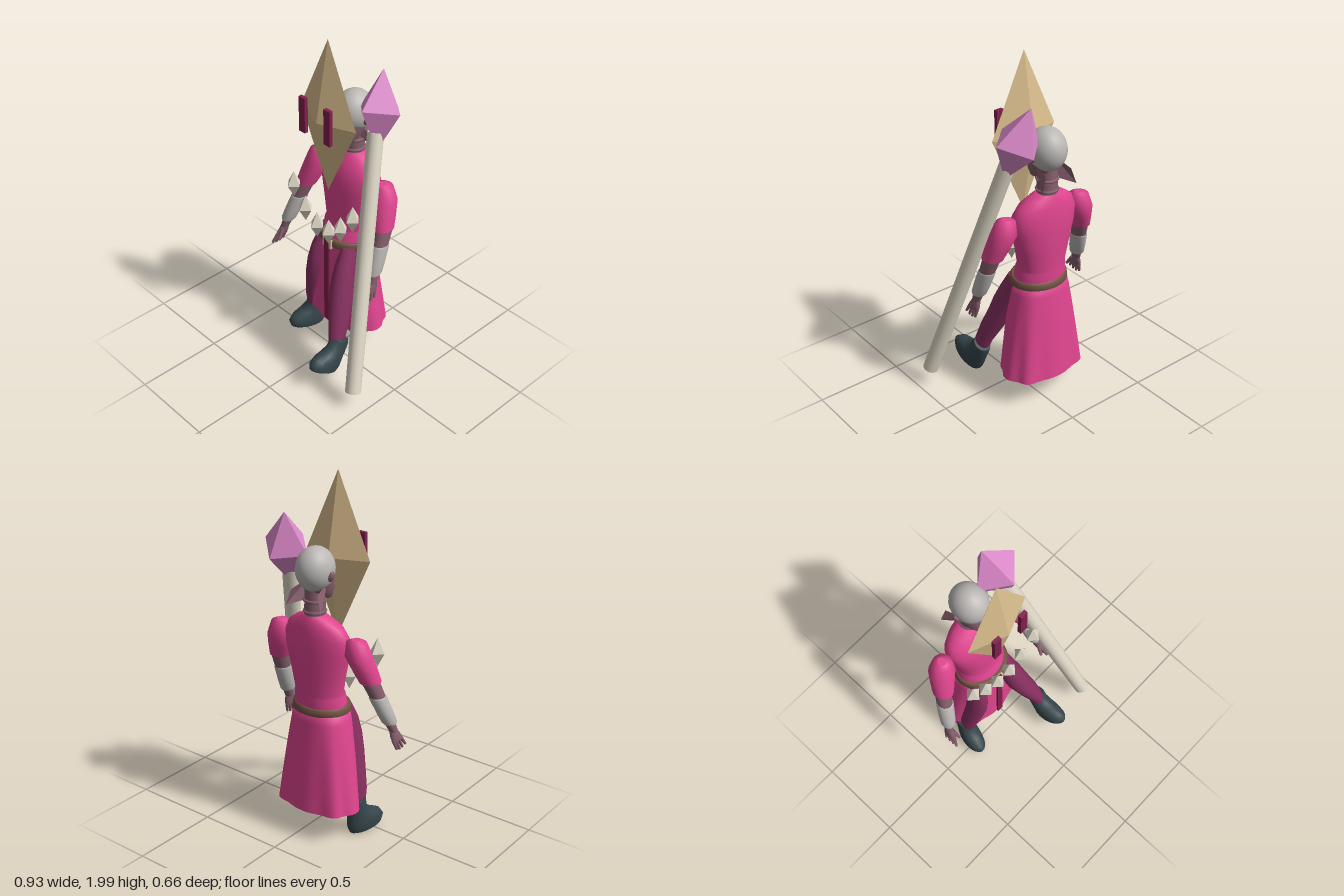
import * as THREE from 'three';
import { ParametricGeometry } from 'three/addons/geometries/ParametricGeometry.js';

const V = (x, y, z) => new THREE.Vector3(x, y, z);

// Closed body from horizontal elliptical rings [x, y, z, rx, rz], listed top to bottom
function loft(rings, sides = 18) {
  const pos = [], idx = [], n = rings.length;
  const addRing = ([x, y, z, rx, rz]) => {
    for (let j = 0; j < sides; j++) {
      const a = (j / sides) * Math.PI * 2;
      pos.push(x + rx * Math.cos(a), y, z + rz * Math.sin(a));
    }
  };
  rings.forEach(addRing);
  for (let i = 0; i < n - 1; i++) {
    for (let j = 0; j < sides; j++) {
      const k = (j + 1) % sides, a = i * sides, b = a + sides;
      idx.push(a + j, a + k, b + j, a + k, b + k, b + j);
    }
  }
  // Separate cap vertices keep the ends crisp
  [rings[0], rings[n - 1]].forEach((r, end) => {
    const s = pos.length / 3;
    addRing(r);
    pos.push(r[0], r[1], r[2]);
    for (let j = 0; j < sides; j++) {
      const k = (j + 1) % sides;
      if (end) idx.push(s + sides, s + j, s + k);
      else idx.push(s + sides, s + k, s + j);
    }
  });
  const g = new THREE.BufferGeometry();
  g.setAttribute('position', new THREE.Float32BufferAttribute(pos, 3));
  g.setIndex(idx);
  g.computeVertexNormals();
  return g;
}

export function createModel() {
  const model = new THREE.Group();
  model.name = 'maskedMage';
  const mat = (name, color, side = THREE.FrontSide) => {
    const m = new THREE.MeshStandardMaterial({ color, side });
    m.name = name;
    return m;
  };
  const tan = mat('maskTan', 0xd9bd8d), maroon = mat('maroon', 0x821f4c);
  const robe = mat('robePink', 0xe0458f, THREE.DoubleSide), legging = mat('leggingPurple', 0x87305f);
  const leather = mat('bootSlate', 0x36464b), violet = mat('gemViolet', 0xde8bcc);
  const bone = mat('bone', 0xe0d9c8), grey = mat('grey', 0xbab7b4);
  const skin = mat('skinMauve', 0x875f6c, THREE.DoubleSide), brown = mat('beltBrown', 0x725444);

  const add = (name, geo, material, x = 0, y = 0, z = 0) => {
    const m = new THREE.Mesh(geo, material);
    m.name = name;
    m.position.set(x, y, z);
    model.add(m);
    return m;
  };
  // Tapered rod between two points
  const rod = (name, a, b, ra, rb, material, sides = 10) => {
    const d = b.clone().sub(a), c = a.clone().add(b).multiplyScalar(0.5);
    const m = add(name, new THREE.CylinderGeometry(rb, ra, d.length(), sides), material, c.x, c.y, c.z);
    m.quaternion.setFromUnitVectors(V(0, 1, 0), d.normalize());
    return m;
  };
  const crystal = (name, rx, ry, rz, material, x, y, z) =>
    add(name, new THREE.OctahedronGeometry(1, 0).scale(rx, ry, rz), material, x, y, z);

  // Floating mask with eye bars
  crystal('mask', 0.206, 0.45, 0.083, tan, -0.047, 1.55, -0.005);
  for (const x of [-0.14, 0.045]) add('maskEye', new THREE.BoxGeometry(0.045, 0.205, 0.022), maroon, x, 1.567, 0.082);

  // Floating shards in a hanging arc
  [1.045, 0.93, 0.865].forEach((y, i) => {
    for (const s of [-1, 1]) crystal('shard', 0.045, 0.083, 0.045, bone, -0.047 + s * (0.231 - i * 0.0925), y, 0.037);
  });

  // Staff and gem
  const foot = V(0.422, 0.108, 0.252), top = V(0.16, 1.5, -0.145);
  rod('staff', foot, top, 0.044, 0.044, bone, 16);
  crystal('staffGem', 0.14, 0.215, 0.135, violet, 0.143, 1.603, -0.192)
    .quaternion.setFromUnitVectors(V(0, 1, 0), top.clone().sub(foot).normalize());

  // Head
  add('skull', new THREE.SphereGeometry(0.1, 24, 16).scale(1, 1.2, 1.11), grey, -0.048, 1.523, -0.194);
  add('jaw', loft([[-0.048, 1.48, -0.18, 0.085, 0.085], [-0.048, 1.41, -0.16, 0.075, 0.085],
    [-0.048, 1.36, -0.13, 0.045, 0.05]]), skin);
  rod('neck', V(-0.048, 1.24, -0.2), V(-0.048, 1.46, -0.195), 0.058, 0.052, skin, 16);
  for (const y of [1.3, 1.36]) {
    add('neckRing', new THREE.TorusGeometry(0.055, 0.009, 6, 18).rotateX(Math.PI / 2), skin, -0.048, y, -0.198);
  }
  // Ears and the swept-back fins below them
  for (const s of [-1, 1]) {
    add('ear', new THREE.SphereGeometry(0.03, 10, 8).scale(0.45, 1, 0.7), skin, -0.048 + s * 0.1, 1.5, -0.19)
      .rotation.z = -s * 0.3;
    const fin = new THREE.BufferGeometry().setFromPoints([
      V(s * 0.06, 1.46, -0.17), V(s * 0.05, 1.35, -0.2), V(s * 0.115, 1.33, -0.295),
      V(s * 0.06, 1.46, -0.17), V(s * 0.115, 1.33, -0.295), V(s * 0.085, 1.42, -0.285)]);
    fin.computeVertexNormals();
    add('neckFin', fin, skin, -0.048);
  }

  // Torso
  add('torso', loft([
    [-0.045, 1.285, -0.2, 0.06, 0.055], [-0.045, 1.26, -0.195, 0.115, 0.07], [-0.045, 1.22, -0.185, 0.17, 0.09],
    [-0.045, 1.16, -0.175, 0.2, 0.105], [-0.045, 1.08, -0.17, 0.195, 0.114], [-0.045, 0.95, -0.165, 0.162, 0.112],
    [-0.045, 0.84, -0.16, 0.14, 0.107], [-0.045, 0.83, -0.155, 0.147, 0.115], [-0.045, 0.72, -0.14, 0.155, 0.125],
  ], 28), robe);

  // Belt, buckle and hanging sash
  add('belt', loft([[-0.045, 0.772, -0.14, 0.155, 0.128], [-0.045, 0.765, -0.14, 0.164, 0.139],
    [-0.045, 0.733, -0.14, 0.168, 0.142], [-0.045, 0.726, -0.14, 0.155, 0.13]], 28), brown);
  add('buckle', new THREE.BoxGeometry(0.065, 0.055, 0.016), tan, -0.048, 0.748, 0.001);
  add('sash', new THREE.BoxGeometry(0.036, 0.59, 0.012), maroon, -0.048, 0.495, 0.006);

  // Skirt closed all round, with folds deepening to the hem
  const bend = (c) => Math.sign(c) * Math.pow(Math.abs(c), 0.8);
  add('skirt', new ParametricGeometry((u, v, p) => {
    const t = u * Math.PI * 2;
    const fold = 1 + 0.035 * v * Math.cos(8 * t);
    const flare = Math.pow(v, 0.85);
    p.set(-0.049 + bend(Math.sin(t)) * (0.152 + 0.092 * flare) * fold, 0.74 - 0.568 * v,
      -0.14 - 0.025 * flare + bend(Math.cos(t)) * (0.125 + 0.03 * flare) * fold);
  }, 96, 10), robe);

  // Legs: one upright, one striding forward
  add('rightLeg', loft([[-0.145, 0.75, -0.1, 0.045, 0.07], [-0.162, 0.66, -0.07, 0.045, 0.08],
    [-0.175, 0.57, -0.055, 0.05, 0.08], [-0.188, 0.48, -0.05, 0.052, 0.075], [-0.21, 0.38, -0.055, 0.047, 0.066],
    [-0.238, 0.26, -0.065, 0.042, 0.054], [-0.245, 0.17, -0.075, 0.037, 0.045]]), legging);
  add('leftLeg', loft([[0.055, 0.75, -0.1, 0.045, 0.08], [0.064, 0.65, -0.055, 0.058, 0.09],
    [0.075, 0.57, -0.015, 0.066, 0.085], [0.09, 0.48, 0.02, 0.068, 0.078], [0.12, 0.37, 0.068, 0.06, 0.068],
    [0.146, 0.27, 0.108, 0.046, 0.055], [0.158, 0.19, 0.132, 0.037, 0.05]]), legging);

  // Boots
  const bootGeo = loft([[0, 0.2, 0.01, 0.045, 0.052], [0, 0.185, 0.01, 0.05, 0.057], [0, 0.13, 0.01, 0.051, 0.062],
    [0, 0.095, 0.03, 0.054, 0.085], [0, 0.065, 0.052, 0.058, 0.11], [0, 0.03, 0.06, 0.06, 0.12], [0, 0, 0.058, 0.053, 0.108]], 20);
  const rightBoot = add('rightBoot', bootGeo, leather, -0.247, 0.012, -0.082);
  rightBoot.rotation.set(-0.12, -0.24, 0, 'YXZ');
  const leftBoot = add('leftBoot', bootGeo, leather, 0.163, 0.066, 0.189);
  leftBoot.rotation.set(-0.5, 0.05, 0);

  // Arms: sleeve, forearm, cuff and hand
  const arm = (side, s, sh, el, wr, tip) => {
    const at = (a, b, t) => a.clone().lerp(b, t);
    const ring = (p, rx, rz) => [p.x, p.y, p.z, rx, rz];
    add(side + 'Sleeve', loft([
      [sh.x - s * 0.012, sh.y + 0.09, sh.z - 0.005, 0.022, 0.025], [sh.x - s * 0.01, sh.y + 0.075, sh.z - 0.005, 0.055, 0.052],
      ring(sh, 0.073, 0.072), ring(at(sh, el, 0.45), 0.066, 0.068), ring(at(sh, el, 0.85), 0.057, 0.062)]), robe);
    add(side + 'Forearm', loft([ring(at(sh, el, 0.8), 0.048, 0.053), ring(el, 0.045, 0.05),
      ring(at(el, wr, 0.5), 0.038, 0.042), ring(at(wr, tip, 0.2), 0.022, 0.026)]), skin);
    add(side + 'Cuff', loft([ring(at(el, wr, 0.24), 0.041, 0.045), ring(at(el, wr, 0.28), 0.046, 0.051),
      ring(at(el, wr, 0.65), 0.043, 0.049), ring(at(el, wr, 0.86), 0.039, 0.045), ring(at(el, wr, 0.92), 0.032, 0.037)]), grey);
    const palm = at(wr, tip, 0.42);
    add(side + 'Palm', loft([ring(at(wr, tip, 0.15), 0.02, 0.026), ring(palm, 0.02, 0.04),
      ring(at(wr, tip, 0.58), 0.017, 0.042)], 12), skin);
    for (let i = 0; i < 4; i++) {
      const k = (i - 1.5) * 0.021;
      rod(side + 'Finger', at(wr, tip, 0.55).add(V(0, 0, k)), tip.clone().add(V(0, Math.abs(i - 1.4) * 0.008, k * 1.25)),
        0.011, 0.007, skin, 8);
    }
    rod(side + 'Thumb', at(wr, tip, 0.25).add(V(-s * 0.008, 0, 0.02)), at(wr, tip, 0.65).add(V(-s * 0.03, 0, 0.04)),
      0.012, 0.008, skin, 8);
  };
  arm('right', -1, V(-0.305, 1.1, -0.165), V(-0.358, 0.93, -0.115), V(-0.423, 0.68, -0.025), V(-0.455, 0.54, 0.02));
  arm('left', 1, V(0.215, 1.1, -0.165), V(0.262, 0.93, -0.115), V(0.284, 0.68, -0.025), V(0.3, 0.54, 0.018));

  return model;
}
